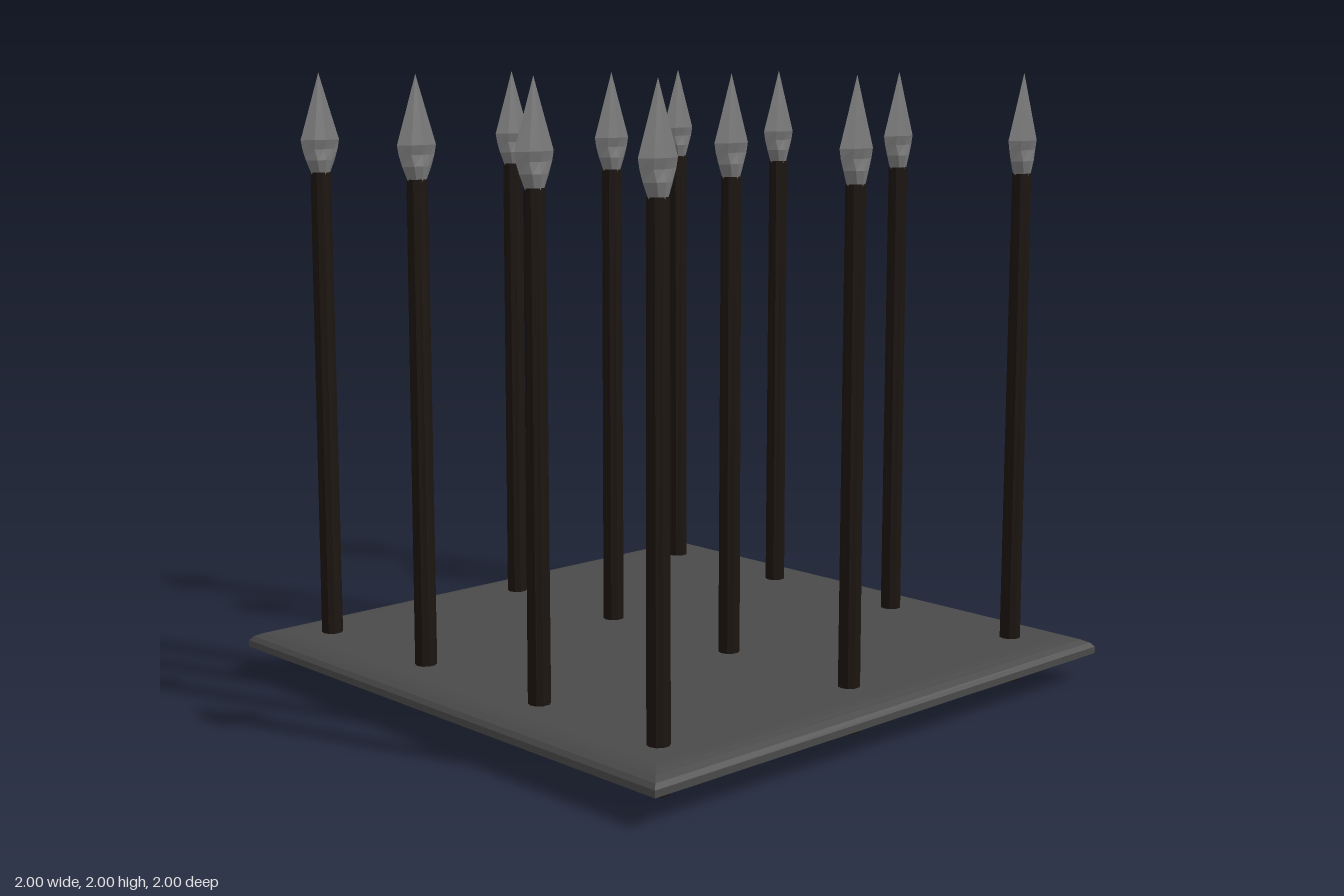
import * as THREE from 'three';

// Closed solid from stacked rings; each ring scales a unit outline [x, z] (counter-clockwise from above).
function loft(outline, rings) {
  const pos = [];
  const at = (i, r) => {
    const [x, z] = outline[i % outline.length];
    return [x * r.rx, r.y, z * r.rz];
  };
  const first = rings[0], last = rings[rings.length - 1];
  for (let i = 0; i < outline.length; i++) {
    for (let k = 0; k < rings.length - 1; k++) {
      const a = at(i, rings[k]), b = at(i + 1, rings[k]);
      const c = at(i + 1, rings[k + 1]), d = at(i, rings[k + 1]);
      pos.push(...a, ...b, ...c);
      if (rings[k + 1].rx > 0) pos.push(...a, ...c, ...d);
    }
    pos.push(0, first.y, 0, ...at(i + 1, first), ...at(i, first));
    if (last.rx > 0) pos.push(0, last.y, 0, ...at(i, last), ...at(i + 1, last));
  }
  const geo = new THREE.BufferGeometry();
  geo.setAttribute('position', new THREE.Float32BufferAttribute(pos, 3));
  geo.computeVertexNormals();
  return geo;
}

const ring = ([y, rx, rz]) => ({ y, rx, rz });

export function createModel() {
  const model = new THREE.Group();
  const material = (color) => new THREE.MeshStandardMaterial({ color, flatShading: true });
  const plateMat = material(0x4a4a4a);
  const poleMat = material(0x1c1510);
  const headMat = material(0x777777);

  // Square floor plate with a rounded upper rim
  const square = [[-1, 1], [1, 1], [1, -1], [-1, -1]];
  const plateRings = [[0.09, 1], [0.112, 1], [0.126, 0.988], [0.137, 0.965], [0.143, 0.94], [0.145, 0.915]]
    .map(([y, h]) => ring([y, h, h]));
  const plate = new THREE.Mesh(loft(square, plateRings), plateMat);
  plate.name = 'basePlate';
  model.add(plate);

  // Flattened, leaf-shaped spear tip with a pinched waist
  const leaf = [[0, 1], [0.75, 0.5], [1, 0], [0.75, -0.5], [0, -1], [-0.75, -0.5], [-1, 0], [-0.75, 0.5]];
  const headGeo = loft(leaf, [
    [1.67, 0.027, 0.033], [1.72, 0.033, 0.056], [1.755, 0.026, 0.068],
    [1.785, 0.033, 0.074], [1.88, 0.019, 0.041], [2, 0, 0],
  ].map(ring));

  // Shaft, slightly narrower in x towards the top
  const poleGeo = new THREE.CylinderGeometry(0.035, 0.035, 1.68, 10);
  const p = poleGeo.attributes.position;
  for (let i = 0; i < p.count; i++) if (p.getY(i) > 0) p.setX(i, p.getX(i) * 0.82);
  poleGeo.translate(0, 0.84, 0);
  poleGeo.computeVertexNormals();

  // Three rows of four spears
  for (const z of [-0.8, 0, 0.8]) {
    for (const x of [-0.8, -0.28, 0.28, 0.8]) {
      const spear = new THREE.Group();
      spear.name = 'spear';
      const pole = new THREE.Mesh(poleGeo, poleMat);
      pole.name = 'shaft';
      const head = new THREE.Mesh(headGeo, headMat);
      head.name = 'spearHead';
      spear.add(pole, head);
      spear.position.set(x, 0, z);
      model.add(spear);
    }
  }
  return model;
}
